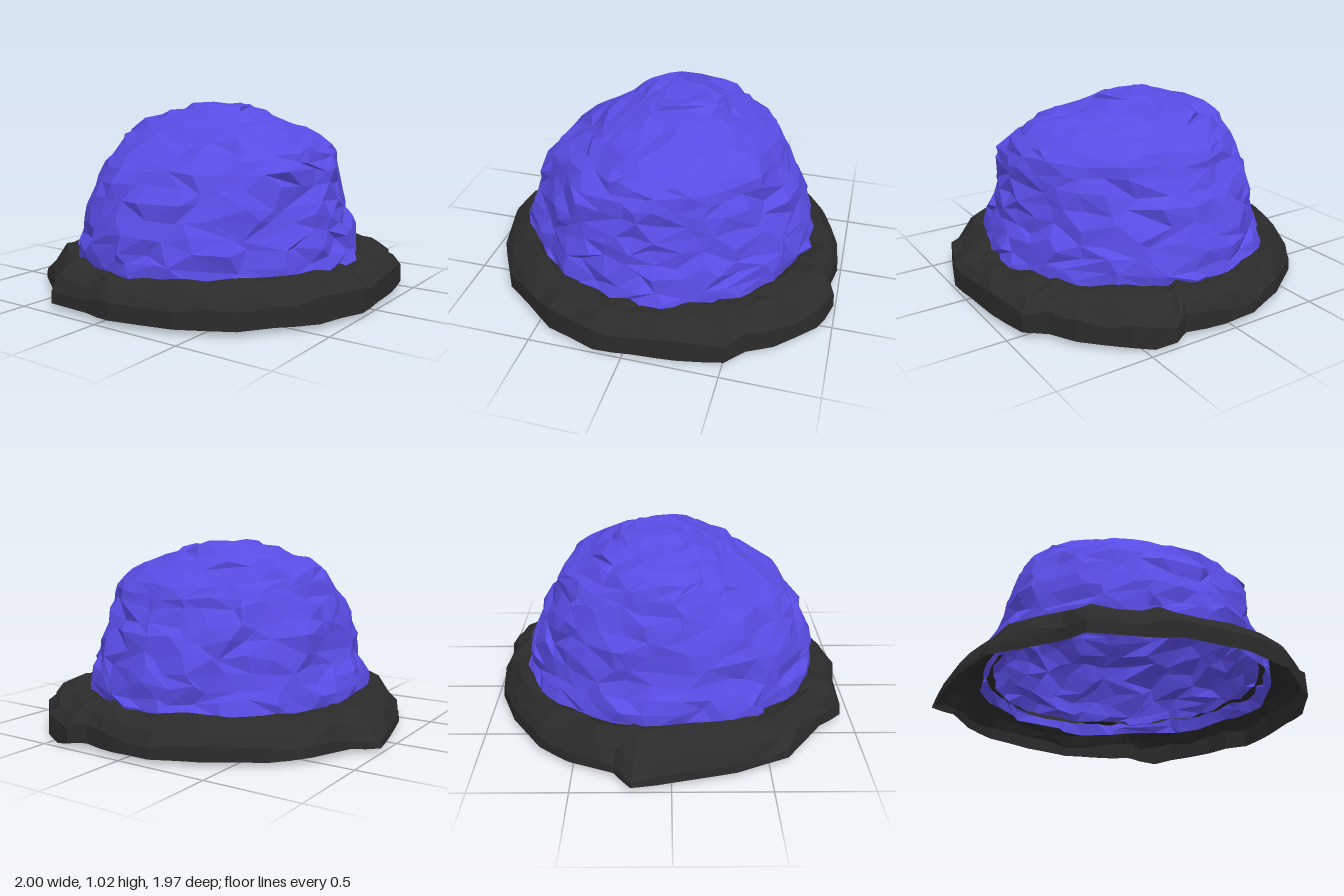
import * as THREE from 'three';

// Small seeded generator; jitter(a) lies in -a..a
let seed = 7;
function random() {
  seed = (seed * 16807) % 2147483647;
  return seed / 2147483647;
}
const jitter = (a) => (random() * 2 - 1) * a;

// Joins two closed loops of points, which may differ in count, with triangles
function stitch(lower, upper, out) {
  const n = lower.length, m = upper.length;
  let i = 0, j = 0;
  while (i < n || j < m) {
    const a = lower[i % n], b = upper[j % m];
    const stepLower = j >= m || (i < n && (i + 1) / n < (j + 1) / m + jitter(0.4 / Math.max(n, m)));
    if (stepLower) {
      out.push(a, b, lower[(i + 1) % n]);
      i++;
    } else {
      if (m > 1) out.push(a, b, upper[(j + 1) % m]);
      j++;
    }
  }
}

function loft(loops) {
  const points = [];
  for (let k = 0; k < loops.length - 1; k++) stitch(loops[k], loops[k + 1], points);
  const geometry = new THREE.BufferGeometry().setFromPoints(points);
  geometry.computeVertexNormals();
  return geometry;
}

// Crumpled hollow mound. Each level: y, reach to -x, +x, -z, +z
const LEVELS = [
  [0.13, 0.75, 0.82, 0.82, 0.81],
  [0.26, 0.73, 0.80, 0.81, 0.81],
  [0.40, 0.69, 0.75, 0.76, 0.79],
  [0.55, 0.66, 0.72, 0.71, 0.74],
  [0.70, 0.61, 0.71, 0.63, 0.64],
  [0.80, 0.57, 0.67, 0.59, 0.46],
  [0.88, 0.53, 0.56, 0.45, 0.35],
  [0.94, 0.38, 0.33, 0.33, 0.25],
  [0.99, 0.20, 0.20, 0.28, 0.15],
  [1.01, 0.10, 0.14, 0.20, 0.04],
];

function moundGeometry() {
  const loops = [];
  const steps = (LEVELS.length - 1) * 2;
  for (let s = 0; s <= steps; s++) {
    const k = Math.floor(s / 2), next = Math.min(k + 1, LEVELS.length - 1);
    const [y, left, right, back, front] = LEVELS[k].map((v, c) => THREE.MathUtils.lerp(v, LEVELS[next][c], (s % 2) / 2));
    const count = Math.max(7, Math.round((left + right) * 25));
    const loop = [];
    for (let i = 0; i < count; i++) {
      const angle = ((i + jitter(0.45)) / count) * Math.PI * 2;
      const c = Math.cos(angle), d = Math.sin(angle);
      // Slanting folds plus fine roughness
      const folds = 0.013 * Math.sin(angle * 9 + y * 14) + 0.01 * Math.sin(angle * 17 - y * 25);
      const bump = 0.995 + folds + jitter(0.03);
      const lift = jitter(s === 0 ? 0.012 : 0.026 - 0.01 * (s / steps));
      loop.push(new THREE.Vector3(
        c * (c > 0 ? right : left) * bump,
        y + lift,
        d * (d > 0 ? front : back) * bump,
      ));
    }
    loops.push(loop);
  }
  loops.push([new THREE.Vector3(0.03, 1.0, -0.08)]);
  return loft(loops);
}

// Outer outline of the base ring as x, z, running from +x towards +z
const OUTLINE = [
  [1, 0.15], [0.91, 0.42], [0.77, 0.6], [0.66, 0.75], [0.4, 0.9], [0.07, 0.98],
  [-0.1, 0.95], [-0.36, 0.94], [-0.47, 0.81], [-0.76, 0.6], [-0.88, 0.33], [-0.95, 0.05],
  [-1, -0.2], [-0.88, -0.29], [-0.79, -0.52], [-0.65, -0.69], [-0.4, -0.86], [-0.15, -0.96],
  [0.05, -0.98], [0.26, -0.94], [0.35, -0.99], [0.55, -0.92], [0.75, -0.73], [0.82, -0.6],
  [0.92, -0.51], [0.97, -0.27], [0.99, -0.05],
];

// Ring section, an open skirt from the outer foot over the crest to a lip
// inside the mound: mix of outer and inner edge, y, extra height towards +x
const SECTION = [
  [0, 0.025, 0], [0.02, 0.1, 0.04], [0.24, 0.16, 0.02],
  [0.58, 0.21, 0], [0.95, 0.212, 0], [1.25, 0.19, 0],
];

function ringGeometry() {
  const loops = SECTION.map(([mix, y, tilt], k) => {
    const loop = [];
    OUTLINE.forEach(([x, z], i) => {
      const [x2, z2] = OUTLINE[(i + 1) % OUTLINE.length];
      for (const t of [0, 0.5]) {
        const px = THREE.MathUtils.lerp(x, x2, t), pz = THREE.MathUtils.lerp(z, z2, t);
        const radius = Math.hypot(px, pz);
        // Inner edge follows the foot of the mound
        const inner = 1 / Math.hypot(px / radius / (px > 0 ? 0.805 : 0.745), pz / radius / 0.81);
        const scale = THREE.MathUtils.lerp(radius, inner, mix) / radius;
        const rough = k > 1 ? 1 + jitter(0.012) : 1;
        const height = y + tilt * px + jitter(k === 0 ? 0.004 : 0.018);
        loop.push(new THREE.Vector3(px * scale * rough, height, pz * scale * rough));
      }
    });
    return loop;
  });
  // Lowest tip of the foot, at the back
  loops[0][41].y = 0;
  return loft(loops);
}

export function createModel() {
  seed = 7;
  const group = new THREE.Group();
  group.name = 'moundOnRing';
  const addPart = (name, geometry, color) => {
    const material = new THREE.MeshStandardMaterial({ color, flatShading: true, side: THREE.DoubleSide });
    const mesh = new THREE.Mesh(geometry, material);
    mesh.name = name;
    group.add(mesh);
  };
  addPart('mound', moundGeometry(), 0x584ce4);
  addPart('baseRing', ringGeometry(), 0x2b2b2b);
  return group;
}
